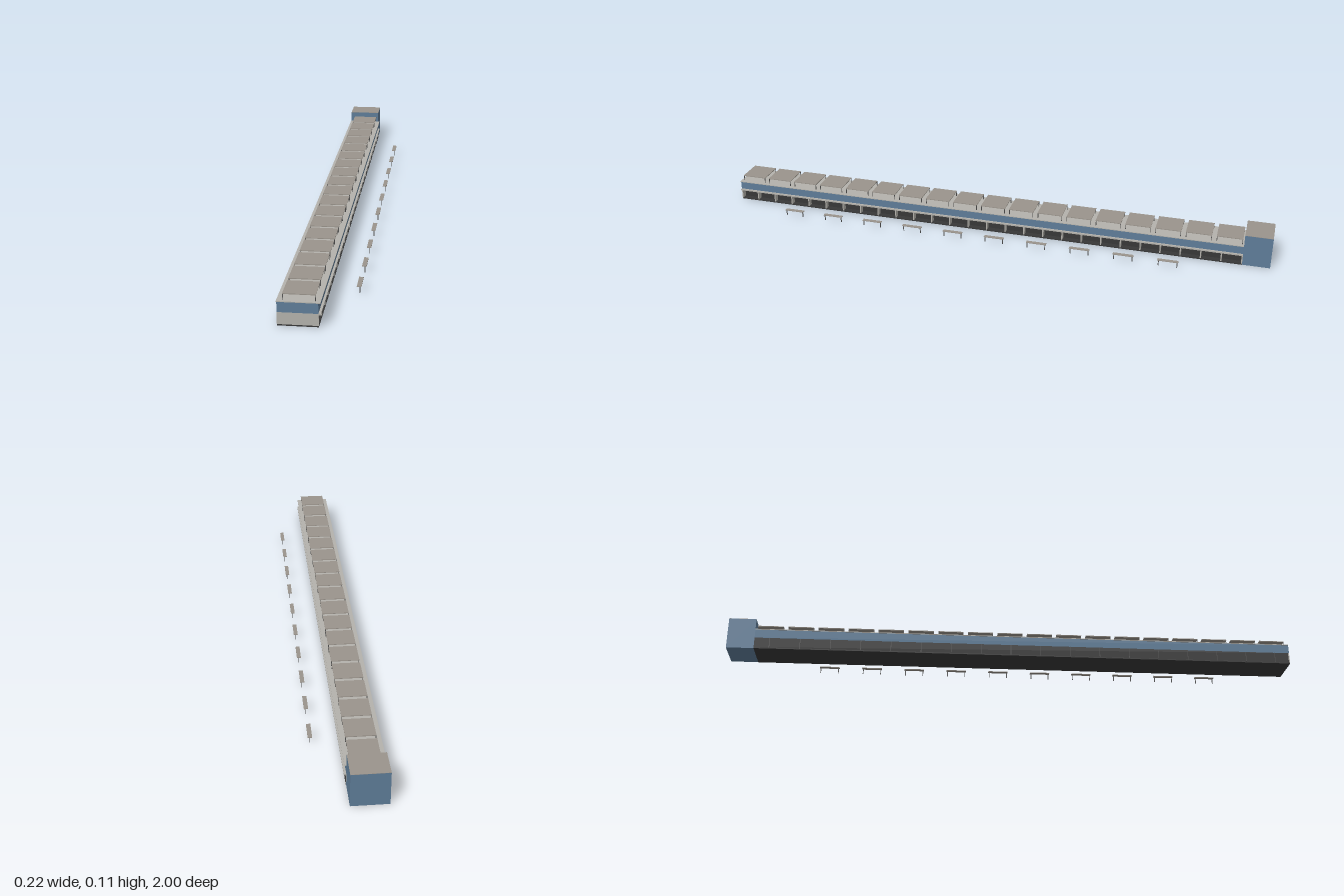
import * as THREE from 'three';

const mat = (color) => new THREE.MeshStandardMaterial({ color, flatShading: true });

export function createModel() {
  const model = new THREE.Group();
  const blue = mat(0x5f7d99), pale = mat(0xb4b2ac), stone = mat(0x9a948c), dark = mat(0x383838), steel = mat(0x555555);

  // Box given by its limits on each axis
  const box = (parent, name, m, [x0, x1], [y0, y1], [z0, z1]) => {
    const mesh = new THREE.Mesh(new THREE.BoxGeometry(x1 - x0, y1 - y0, z1 - z0), m);
    mesh.name = name;
    mesh.position.set((x0 + x1) / 2, (y0 + y1) / 2, (z0 + z1) / 2);
    parent.add(mesh);
    return mesh;
  };
  const group = (name) => {
    const g = new THREE.Group();
    g.name = name;
    model.add(g);
    return g;
  };

  const back = -0.905, front = 1, west = -0.107, east = 0.012;

  // Ground floor: slab, glazed core set back on the open side, end wall
  const ground = group('groundFloor');
  box(ground, 'floorSlab', dark, [west, east], [0, 0.004], [back, front]);
  box(ground, 'glazedCore', dark, [west, -0.008], [0.004, 0.041], [back, front - 0.004]);
  box(ground, 'endWall', pale, [west, east], [0.004, 0.041], [front - 0.004, front]);

  // Thin partitions between the open bays
  const bays = 27;
  for (let i = 0; i < bays; i++) {
    const z = back + 0.002 + (i / bays) * (front - back);
    box(ground, 'partition', pale, [-0.008, east], [0.004, 0.041], [z - 0.002, z + 0.002]);
  }
  // Window bars on the closed side
  for (let i = 0; i < 18; i++) {
    const z = back + (i + 0.5) * 0.1058;
    box(ground, 'windowBar', steel, [west - 0.0005, west], [0.004, 0.041], [z - 0.001, z + 0.001]);
  }

  // Upper floor, ledge and flat roof
  box(model, 'upperFloor', blue, [west, 0.011], [0.041, 0.072], [back, front]);
  box(model, 'ledge', pale, [0.008, 0.018], [0.037, 0.042], [back, front]);
  box(model, 'roof', pale, [-0.109, 0.017], [0.072, 0.0745], [back, front]);

  // Raised panels on corner legs along the roof
  for (let i = 0; i < 18; i++) {
    const unit = group('roofPanelUnit');
    unit.position.z = -0.855 + i * 0.1059;
    box(unit, 'panel', stone, [-0.092, 0.003], [0.0925, 0.095], [-0.045, 0.045]);
    for (const x of [-0.0905, 0.0015]) for (const z of [-0.0435, 0.0435])
      box(unit, 'panelLeg', steel, [x - 0.001, x + 0.001], [0.0745, 0.0925], [z - 0.001, z + 0.001]);
  }

  // Taller block at the back end
  box(model, 'endBlock', blue, [west, 0.011], [0, 0.1125], [-1, back]);
  box(model, 'endBlockRoof', stone, [west, 0.011], [0.1125, 0.1135], [-1, back]);

  // Row of benches beside the building
  for (let i = 0; i < 10; i++) {
    const bench = group('bench');
    bench.position.z = -0.66 + i * 0.155;
    box(bench, 'seat', stone, [0.094, 0.108], [0.025, 0.027], [-0.036, 0.036]);
    for (const z of [-0.032, 0.032])
      box(bench, 'benchLeg', steel, [0.102, 0.104], [0.005, 0.025], [z - 0.0015, z + 0.0015]);
  }
  return model;
}
